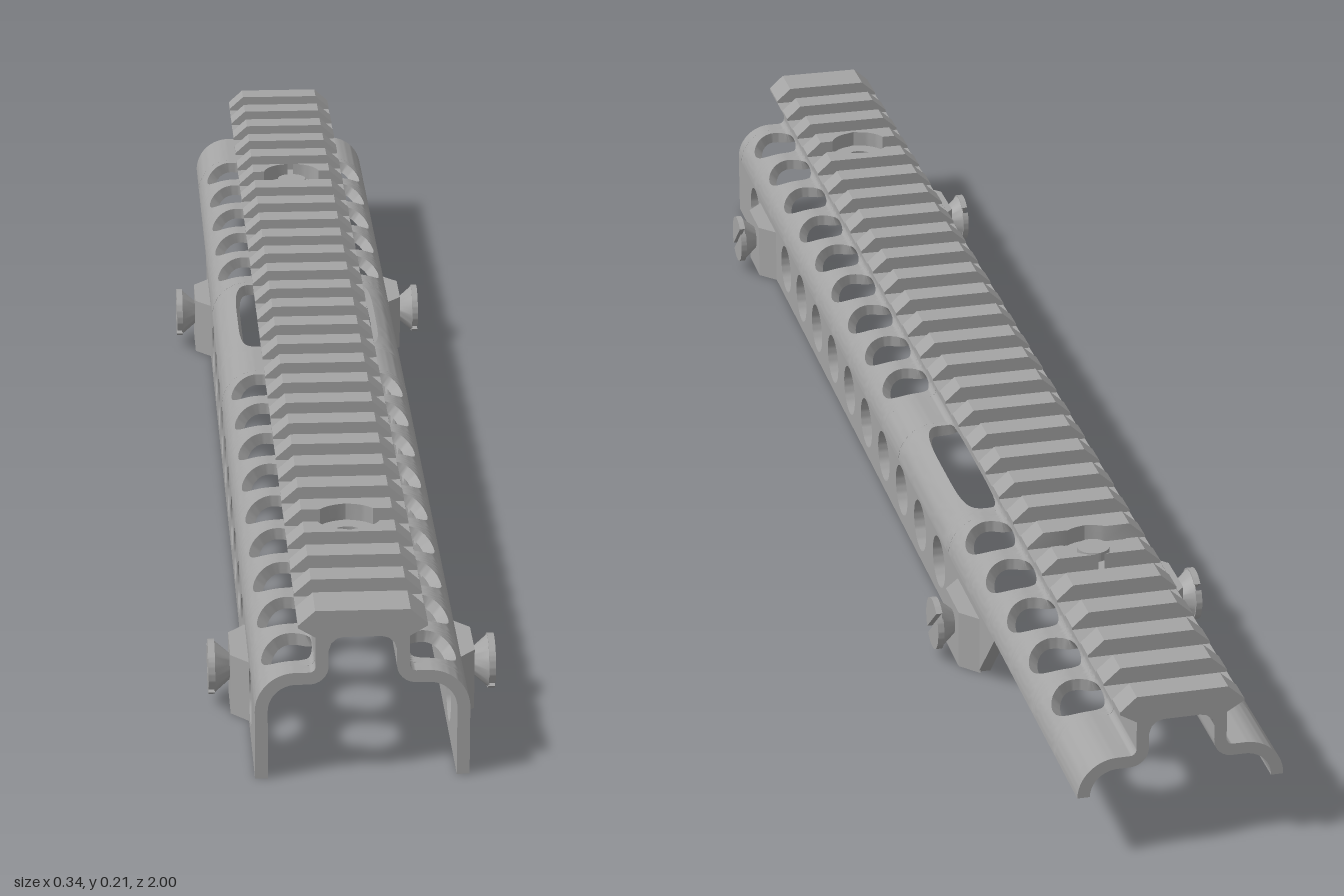
import * as THREE from 'three';
import { toCreasedNormals } from 'three/addons/utils/BufferGeometryUtils.js';

const metal = new THREE.MeshStandardMaterial({ color: 0xa3a3a3 });
metal.name = 'grey metal';

const flat = (geo) => (geo.index ? geo.toNonIndexed() : geo);

// Mirrors a triangle soup across x = 0 and restores the corner order
function mirrorX(geo) {
  const g = new THREE.BufferGeometry();
  const p = geo.attributes.position;
  const out = [];
  for (let i = 0; i < p.count; i += 3)
    for (const k of [i, i + 2, i + 1]) out.push(-p.getX(k), p.getY(k), p.getZ(k));
  g.setAttribute('position', new THREE.Float32BufferAttribute(out, 3));
  return g;
}

// Adds a part, and its twin on the other side when wanted
function add(group, name, geo, both = true) {
  const g = flat(geo);
  const put = (label, geometry) => {
    const mesh = new THREE.Mesh(toCreasedNormals(geometry, 0.6), metal);
    mesh.name = label;
    group.add(mesh);
  };
  put(both ? name + 'Left' : name, g);
  if (both) put(name + 'Right', mirrorX(g));
}

// Straight bar with an (x, y) outline, running from z0 to z1
function prism(points, z0, z1, steps = 1) {
  const shape = new THREE.Shape(points.map(([x, y]) => new THREE.Vector2(x, y)));
  return new THREE.ExtrudeGeometry(shape, { depth: z1 - z0, steps, bevelEnabled: false }).translate(0, 0, z0);
}

// Shell wall: shoulder arc, short flat, fillet, upright neck. d = 0 inside, 1 outside
const ARC = 0.0636, FLAT = 0.0786, FILLET = 0.1022, END = 0.1387;
function wallPoint(s, d) {
  if (s < ARC) {
    const a = (s / ARC) * Math.PI / 2, r = 0.033 + 0.015 * d;
    return [0.077 + r * Math.cos(a), 0.085 + r * Math.sin(a)];
  }
  if (s < FLAT) return [0.077 - (s - ARC), 0.118 + 0.015 * d];
  if (s < FILLET) {
    const a = ((s - FLAT) / (FILLET - FLAT)) * Math.PI / 2, r = 0.0225 - 0.015 * d;
    return [0.062 - r * Math.sin(a), 0.1405 - r * Math.cos(a)];
  }
  const t = (s - FILLET) / (END - FILLET);
  return [0.0395 + 0.015 * d, 0.1405 + t * 0.0365];
}

// Plain stretch of the wall
function wallSolid(z0, z1) {
  const outer = [], inner = [];
  for (let i = 0; i <= 40; i++) {
    outer.push(wallPoint(END * i / 40, 1));
    inner.unshift(wallPoint(END * i / 40, 0));
  }
  return prism([...outer, ...inner], z0, z1);
}

// Stretch of the wall with one opening: rings run from the opening to the cell border
function wallCell(zc, half, sc, hz, hs, power) {
  const N = 64, R = 8, out = [];
  const at = (k, j, d) => {
    const a = (k / N) * Math.PI * 2, c = Math.cos(a), n = Math.sin(a);
    const m = 1 / Math.max(Math.abs(c), Math.abs(n));
    const pw = (v) => Math.sign(v) * Math.abs(v) ** power;
    const z = THREE.MathUtils.lerp(hz * pw(c), half * c * m, j / R);
    const edge = n * m * (n > 0 ? END - sc : sc);
    const s = sc + THREE.MathUtils.lerp(hs * pw(n), edge, j / R);
    const [x, y] = wallPoint(Math.min(END, Math.max(0, s)), d);
    return [x, y, zc + z];
  };
  const quad = (a, b, c, d) => out.push(...a, ...b, ...c, ...a, ...c, ...d);
  for (let k = 0; k < N; k++) {
    for (let j = 0; j < R; j++) {
      quad(at(k, j, 1), at(k + 1, j, 1), at(k + 1, j + 1, 1), at(k, j + 1, 1));
      quad(at(k, j + 1, 0), at(k + 1, j + 1, 0), at(k + 1, j, 0), at(k, j, 0));
    }
    quad(at(k, 0, 0), at(k + 1, 0, 0), at(k + 1, 0, 1), at(k, 0, 1));
    quad(at(k, R, 1), at(k + 1, R, 1), at(k + 1, R, 0), at(k, R, 0));
  }
  const g = new THREE.BufferGeometry();
  g.setAttribute('position', new THREE.Float32BufferAttribute(out, 3));
  return g;
}

export function createModel() {
  const model = new THREE.Group();
  model.name = 'railedHandguard';

  // Shoulders with round openings and one long slot
  const shoulders = new THREE.Group();
  shoulders.name = 'shoulders';
  model.add(shoulders);
  const pitch = 0.108;
  for (const [first, count] of [[0.925, 9], [-0.412, 5]])
    for (let i = 0; i < count; i++)
      add(shoulders, 'shoulderHoleSection', wallCell(first - pitch * i, pitch / 2, 0.062, 0.04, 0.034, 1));
  add(shoulders, 'shoulderSlotSection', wallCell(-0.21, 0.135, 0.074, 0.125, 0.026, 0.5));
  for (const [a, b] of [[0.979, 1], [-0.075, 0.007], [-0.358, -0.345], [-1, -0.898]])
    add(shoulders, 'shoulderPlainSection', wallSolid(a, b));

  // Side plates, drilled, with a slanted rear end
  const plate = new THREE.Shape([[-1, 0], [0.52, 0], [0.6, 0.085], [-1, 0.085]].map(([x, y]) => new THREE.Vector2(x, y)));
  const holes = [0.877];
  for (let i = 0; i < 10; i++) holes.push(0.653 - 0.1065 * i);
  for (const z of holes) plate.holes.push(new THREE.Path().absarc(-z, 0.048, 0.034, 0, Math.PI * 2, true));
  add(model, 'sidePlate', new THREE.ExtrudeGeometry(plate, { depth: 0.015, bevelEnabled: false, curveSegments: 20 })
    .rotateY(Math.PI / 2).translate(0.11, 0, 0));

  // Rail base, with a drilled strip near the front
  const rail = new THREE.Group();
  rail.name = 'topRail';
  model.add(rail);
  const FLOOR = 0.189, borZ = [0.715, -0.6];
  const base = (x0) => [[x0, 0.177], [0.022, 0.177], [0.03, 0.175], [0.0365, 0.169], [0.0395, 0.16],
    [0.0395, 0.177], [0.055, 0.177], [0.075, FLOOR], [x0, FLOOR]].slice(x0 ? 1 : 0);
  add(rail, 'railBaseRear', prism(base(0), -1, 0.675));
  add(rail, 'railBaseMiddle', prism(base(0.022), 0.675, 0.755));
  add(rail, 'railBaseFront', prism(base(0), 0.755, 1));
  const strip = new THREE.Shape([[-0.022, -0.04], [0.022, -0.04], [0.022, 0.04], [-0.022, 0.04]].map(([x, y]) => new THREE.Vector2(x, y)));
  strip.holes.push(new THREE.Path().absarc(0, 0, 0.019, 0, Math.PI * 2, true));
  add(rail, 'drilledStrip', new THREE.ExtrudeGeometry(strip, { depth: 0.012, bevelEnabled: false, curveSegments: 20 })
    .rotateX(-Math.PI / 2).translate(0, 0.177, borZ[0]), false);

  // Rail teeth, hollowed out around the two counterbores
  const step = 1.945 / 27;
  for (let i = 0; i <= 27; i++) {
    const z1 = i ? 0.945 - step * i + 0.034 : 1;
    const z0 = 0.945 - step * i;
    const tooth = prism([[0, FLOOR], [0.075, FLOOR], [0.075, 0.192], [0.055, 0.21], [0, 0.21]], z0, z1, 12);
    const p = tooth.attributes.position;
    for (let k = 0; k < p.count; k++)
      if (p.getX(k) < 0.05)
        p.setX(k, Math.max(...borZ.map((c) => Math.sqrt(Math.max(0, 0.04 ** 2 - (p.getZ(k) - c) ** 2)))));
    add(rail, 'railTooth', tooth);
  }
  add(rail, 'boltHead', new THREE.CylinderGeometry(0.02, 0.02, 0.012, 24).translate(0, 0.195, borZ[1]), false);

  // Clamp blocks and slotted thumb screws
  for (const z of [0.782, -0.466]) {
    const clamp = new THREE.Group();
    clamp.name = z > 0 ? 'frontClamp' : 'rearClamp';
    model.add(clamp);
    const block = new THREE.Shape([[0.124, 0.058], [0.124, -0.058], [0.146, -0.034], [0.146, 0.034]].map(([x, y]) => new THREE.Vector2(x, y)));
    add(clamp, 'clampBlock', new THREE.ExtrudeGeometry(block, { depth: 0.076, bevelEnabled: false })
      .rotateX(-Math.PI / 2).translate(0, 0, z));
    add(clamp, 'screwNeck', new THREE.CylinderGeometry(0.032, 0.015, 0.02, 24)
      .rotateZ(-Math.PI / 2).translate(0.155, 0.047, z));
    for (const side of [0, 1]) {
      const head = new THREE.Shape().absarc(0, 0, 0.033, 0.12 + side * Math.PI, Math.PI - 0.12 + side * Math.PI, false);
      add(clamp, 'screwHeadHalf', new THREE.ExtrudeGeometry(head, { depth: 0.008, bevelEnabled: false, curveSegments: 16 })
        .rotateZ(0.7).rotateY(Math.PI / 2).translate(0.164, 0.047, z));
    }
  }
  return model;
}
